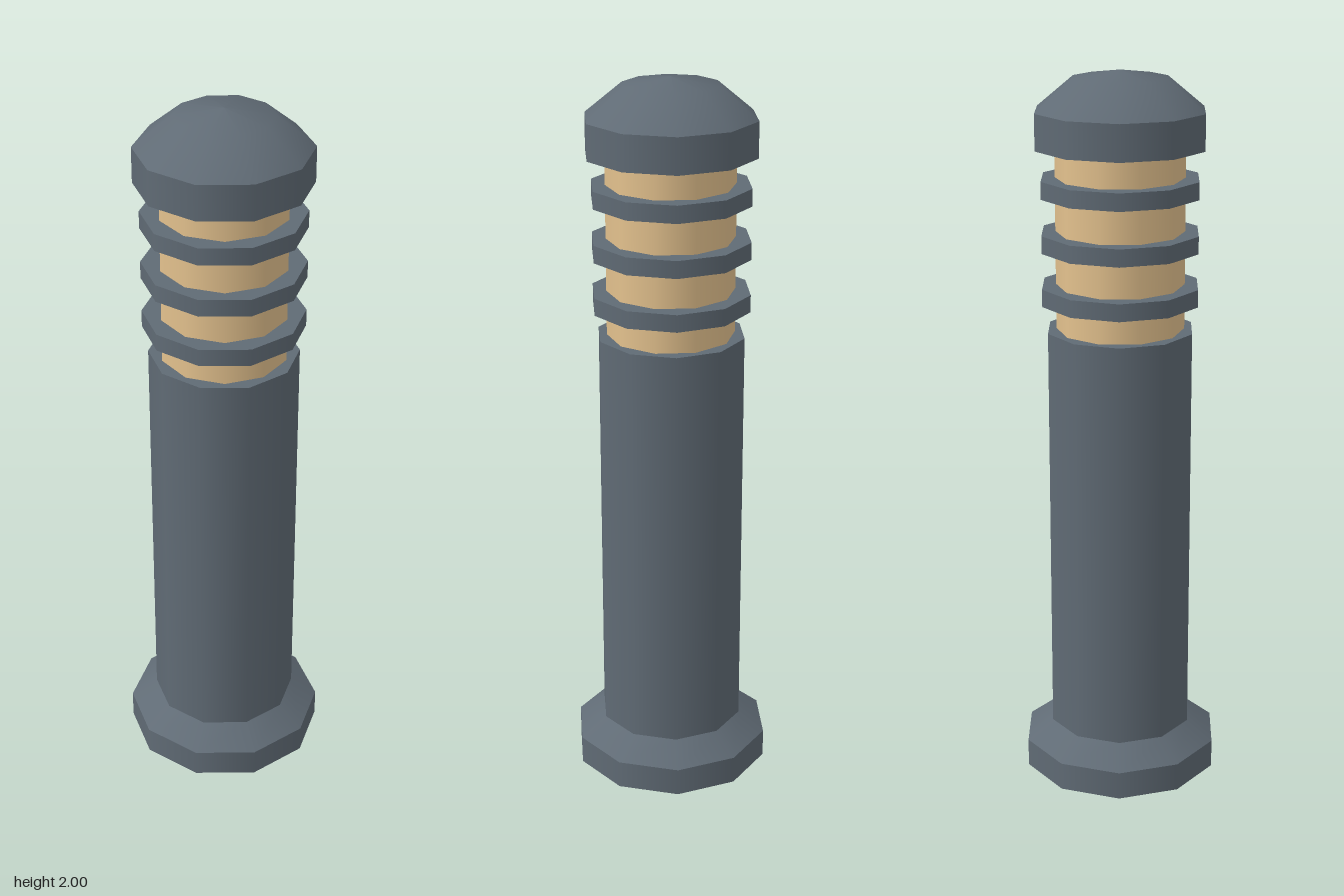
import * as THREE from 'three';

const SIDES = 10;

export function createModel() {
  const model = new THREE.Group();
  model.name = 'bollardLight';

  const metal = new THREE.MeshStandardMaterial({ color: 0x606b75 });
  metal.name = 'slate metal';
  const glow = new THREE.MeshStandardMaterial({ color: 0xe4c28e });
  glow.name = 'warm lamp';

  // Ten-sided drum between two heights; turn puts its corners on the x axis
  function drum(name, rBottom, rTop, y0, y1, material = metal, turn = Math.PI / 2, open = false) {
    const geo = new THREE.CylinderGeometry(rTop, rBottom, y1 - y0, SIDES, 1, open);
    geo.rotateY(turn);
    geo.translate(0, (y0 + y1) / 2, 0);
    const mesh = new THREE.Mesh(geo, material);
    mesh.name = name;
    model.add(mesh);
  }

  // Foot and post
  drum('basePlate', 0.28, 0.28, 0, 0.08);
  drum('baseTaper', 0.28, 0.205, 0.08, 0.135, metal, Math.PI / 2, true);
  drum('post', 0.205, 0.205, 0.135, 1.3);

  // Lamp core, with its corners on the z axis
  drum('lamp', 0.175, 0.175, 1.3, 1.797, glow, 0);

  // Louvre rings
  for (let i = 0; i < 3; i++) {
    const y = 1.4 + i * 0.146;
    drum('louvre' + (i + 1), 0.22, 0.22, y - 0.024, y + 0.024);
  }

  // Cap and smooth shallow dome
  drum('capRim', 0.235, 0.235, 1.797, 1.895);
  const profile = [[0.235, 1.895], [0.132, 1.98], [0, 2]].map(([r, y]) => new THREE.Vector2(r, y));
  const domeGeo = new THREE.LatheGeometry(profile, SIDES);
  domeGeo.rotateY(Math.PI / 2);
  const dome = new THREE.Mesh(domeGeo, metal);
  dome.name = 'capDome';
  model.add(dome);

  return model;
}
